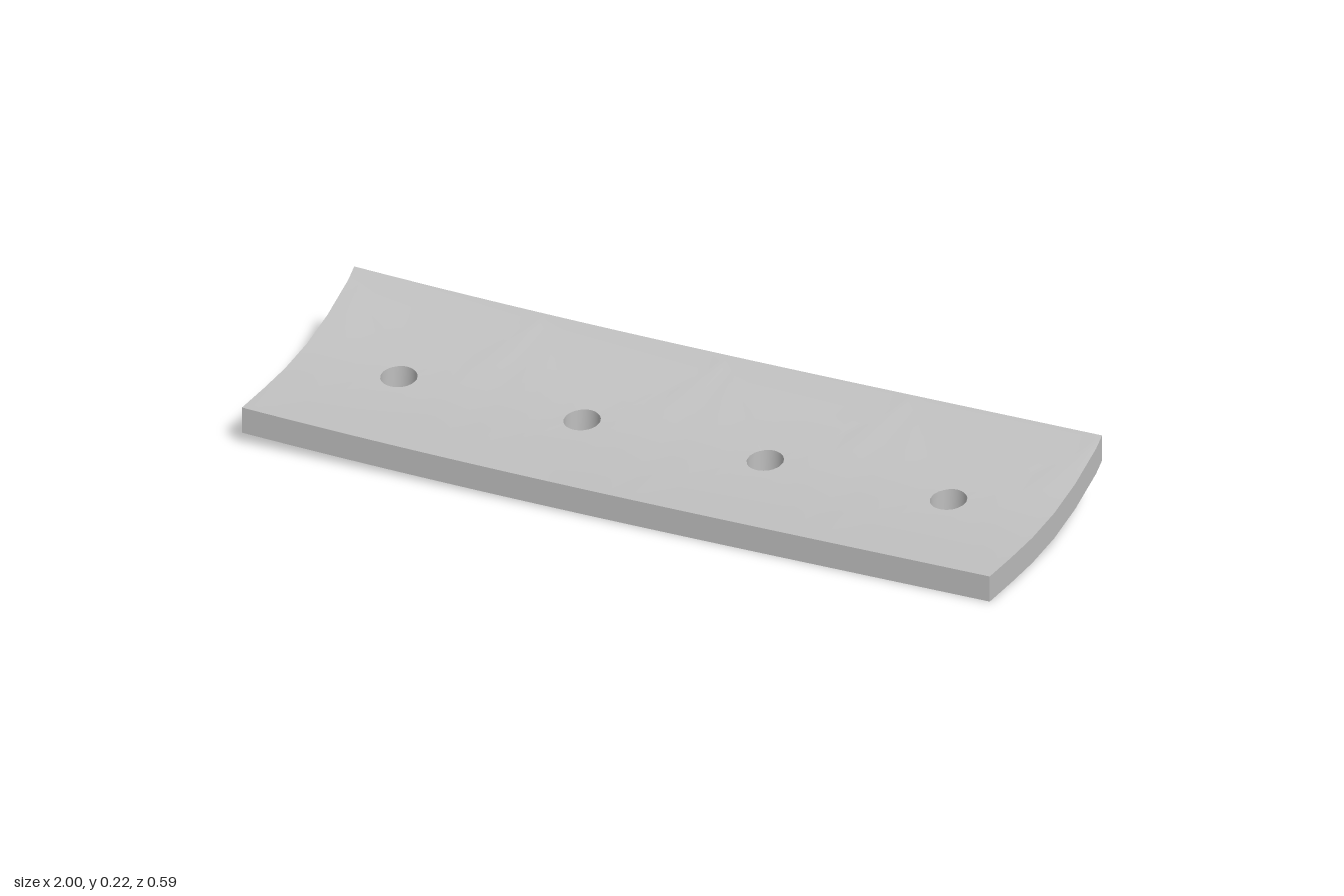
import * as THREE from 'three';
import { mergeVertices } from 'three/addons/utils/BufferGeometryUtils.js';

// Underside profile from the front edge to the back edge: [z, y]
const PROFILE = [[0.297, 0], [0.18, 0.003], [0.07, 0.009], [-0.045, 0.026],
  [-0.155, 0.057], [-0.265, 0.104], [-0.297, 0.126]];
const THICK = 0.066, HOLE_R = 0.045, HOLE_Z = -0.009, RINGS = 8, X_STEPS = 12;
const HOLE_X = [-0.735, -0.245, 0.245, 0.735];
const BOUNDS = [-1, -0.49, 0, 0.49, 1];

// Underside height: curved across z, with a slight lift towards the right end
function height(x, z) {
  let i = 0;
  while (i < PROFILE.length - 2 && z < PROFILE[i + 1][0]) i++;
  const [z0, y0] = PROFILE[i], [z1, y1] = PROFILE[i + 1];
  const lift = 0.027 * Math.pow(Math.max(0, (0.7 - x) / 1.7), 3);
  return y0 + (y1 - y0) * (z - z0) / (z1 - z0) + lift;
}
const low = ([x, z]) => [x, height(x, z), z];
const high = ([x, z]) => [x, height(x, z) + THICK, z];

// Counter-clockwise outline (seen from above) of one block of the plate
function outline(x0, x1) {
  const zs = PROFILE.map((p) => p[0]), front = zs[0], back = zs[zs.length - 1];
  const xs = Array.from({ length: X_STEPS + 1 }, (_, i) => x0 + (x1 - x0) * i / X_STEPS);
  return [
    ...xs.slice(0, -1).map((x) => [x, front]),
    ...zs.slice(0, -1).map((z) => [x1, z]),
    ...xs.slice(1).reverse().map((x) => [x, back]),
    ...zs.slice(1).reverse().map((z) => [x0, z]),
  ];
}

function addQuad(out, a, b, c, d) {
  out.push(...a, ...b, ...c, ...a, ...c, ...d);
}

// Vertical wall below a path; it faces right of the direction of travel
function addWall(out, path) {
  for (let i = 0; i < path.length - 1; i++) {
    addQuad(out, low(path[i]), low(path[i + 1]), high(path[i + 1]), high(path[i]));
  }
}

export function createModel() {
  const group = new THREE.Group();
  const metal = new THREE.MeshStandardMaterial({ color: 0xbfbfbf });
  metal.name = 'grey metal';

  const addMesh = (name, positions) => {
    let g = new THREE.BufferGeometry();
    g.setAttribute('position', new THREE.Float32BufferAttribute(positions, 3));
    g = mergeVertices(g, 1e-5);
    g.computeVertexNormals();
    const mesh = new THREE.Mesh(g, metal);
    mesh.name = name;
    group.add(mesh);
  };

  // Plate faces: rings that grow from each round hole to its block outline
  const top = [], bottom = [];
  HOLE_X.forEach((hx, k) => {
    const outer = outline(BOUNDS[k], BOUNDS[k + 1]), n = outer.length;
    const circle = outer.map(([x, z]) => {
      const a = Math.atan2(z - HOLE_Z, x - hx);
      return [hx + HOLE_R * Math.cos(a), HOLE_Z + HOLE_R * Math.sin(a)];
    });
    const at = (i, r) => [0, 1].map((c) =>
      circle[i % n][c] + (outer[i % n][c] - circle[i % n][c]) * r / RINGS);
    for (let r = 0; r < RINGS; r++) {
      for (let i = 0; i < n; i++) {
        const q = [at(i, r), at(i, r + 1), at(i + 1, r + 1), at(i + 1, r)];
        addQuad(top, ...q.map(high));
        addQuad(bottom, ...q.map(low).reverse());
      }
    }
    // Bore through the plate
    const bore = [];
    addWall(bore, [...circle, circle[0]].reverse());
    addMesh('boltHole' + (k + 1), bore);
  });
  addMesh('topFace', top);
  addMesh('bottomFace', bottom);

  // Four outer edges
  const rim = outline(-1, 1), side = PROFILE.length - 1;
  rim.push(rim[0]);
  let start = 0;
  [['frontEdge', X_STEPS], ['leftEdge', side], ['backEdge', X_STEPS], ['rightEdge', side]]
    .forEach(([name, count]) => {
      // Long edges follow the block divisions so they meet the faces exactly
      let path = rim.slice(start, start + count + 1);
      if (count === X_STEPS) {
        const z = path[0][1], xs = [-1];
        for (let k = 0; k < 4; k++) {
          for (let i = 1; i <= X_STEPS; i++) {
            xs.push(BOUNDS[k] + (BOUNDS[k + 1] - BOUNDS[k]) * i / X_STEPS);
          }
        }
        path = (name === 'backEdge' ? xs.reverse() : xs).map((x) => [x, z]);
      }
      const wall = [];
      addWall(wall, path);
      addMesh(name, wall);
      start += count;
    });
  return group;
}
